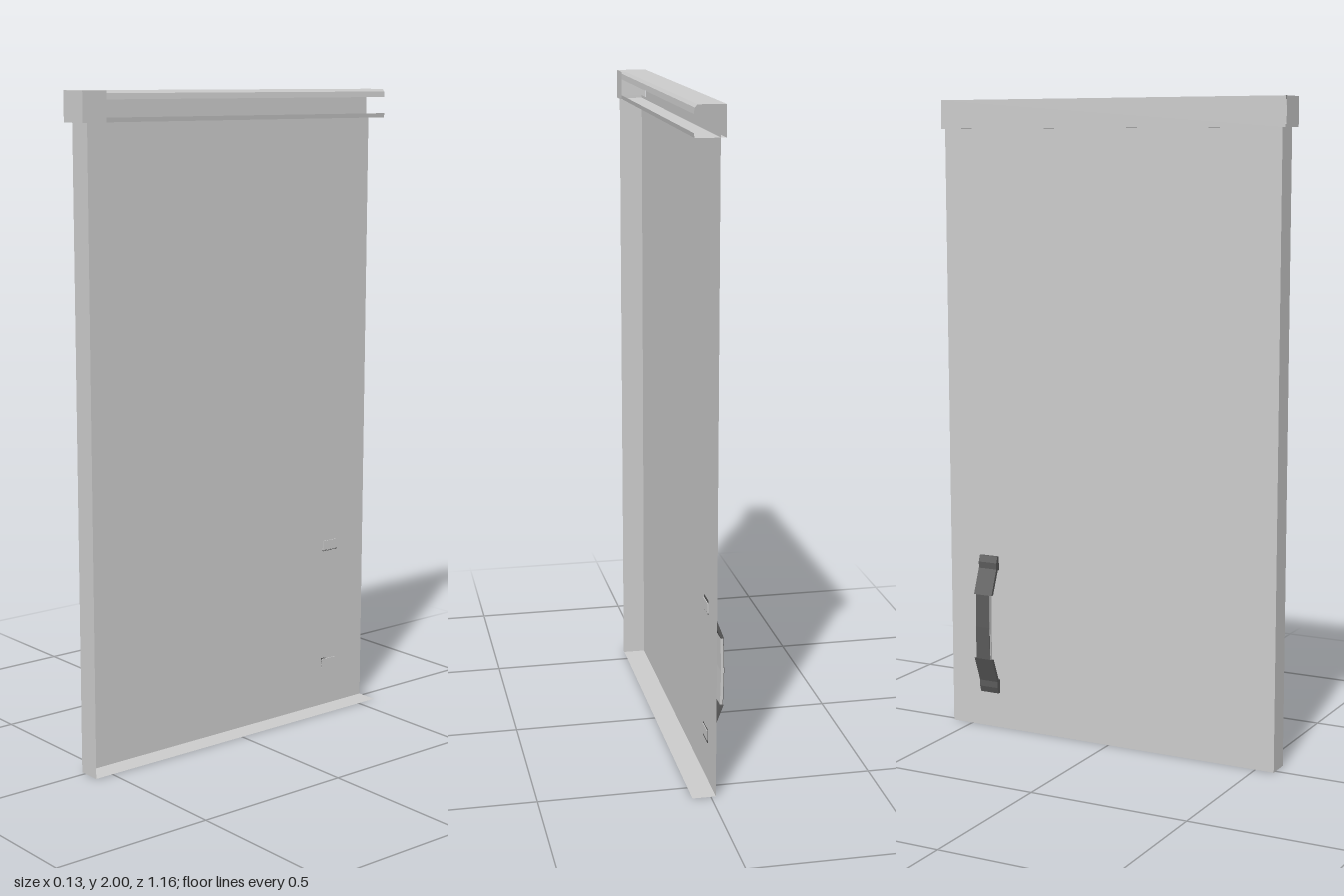
import * as THREE from 'three';

const grey = new THREE.MeshStandardMaterial({ color: 0xcccccc, side: THREE.DoubleSide, flatShading: true });
const dark = new THREE.MeshStandardMaterial({ color: 0x5a5a5a, flatShading: true });

// Folded sheet: a cross-section [x, y] swept between two z ends
function sheet(name, profile, zFront, zBack) {
  const pos = [], idx = [];
  profile.forEach(([x, y], i) => {
    pos.push(x, y, zFront, x, y, typeof zBack === 'function' ? zBack(x, y) : zBack);
    if (i) {
      const a = 2 * i - 2;
      idx.push(a, a + 1, a + 2, a + 1, a + 3, a + 2);
    }
  });
  const g = new THREE.BufferGeometry();
  g.setAttribute('position', new THREE.Float32BufferAttribute(pos, 3));
  g.setIndex(idx);
  const flat = g.toNonIndexed();
  flat.computeVertexNormals();
  const mesh = new THREE.Mesh(flat, grey);
  mesh.name = name;
  return mesh;
}

// Solid strip: an [x, y] outline extruded along z, centred on zMid
function strip(name, outline, width, zMid, material) {
  const shape = new THREE.Shape(outline.map(([x, y]) => new THREE.Vector2(x, y)));
  const g = new THREE.ExtrudeGeometry(shape, { depth: width, bevelEnabled: false });
  const mesh = new THREE.Mesh(g, material);
  mesh.position.z = zMid - width / 2;
  mesh.name = name;
  return mesh;
}

function box(name, w, h, d, x, y, z, material) {
  const mesh = new THREE.Mesh(new THREE.BoxGeometry(w, h, d), material);
  mesh.position.set(x, y, z);
  mesh.name = name;
  return mesh;
}

export function createModel() {
  const model = new THREE.Group();
  model.name = 'door';

  // Door skin with its bottom flange; the rear edge leans slightly
  const rear = (x, y) => -0.57 - 0.003 * y;
  model.add(sheet('doorPanel', [[-0.015, 1.92], [-0.015, 0], [0.055, 0]], 0.56, rear));

  // Front edge flange
  const flange = new THREE.Mesh(new THREE.PlaneGeometry(0.072, 1.92), grey);
  flange.position.set(0.021, 0.96, 0.56);
  flange.name = 'frontFlange';
  model.add(flange);

  // Top rail: channel open towards +x and at the rear
  const rail = new THREE.Group();
  rail.name = 'topRail';
  rail.add(sheet('railChannel', [
    [0.058, 1.975], [0.056, 1.992], [0.048, 2], [-0.03, 2],
    [-0.03, 1.912], [0.056, 1.912], [0.058, 1.925],
  ], 0.575, (x) => -0.58 + (x + 0.03) * 0.06));
  // Front end cap, open at its rear
  rail.add(sheet('railCap', [
    [-0.03, 1.912], [0.062, 1.912], [0.062, 2], [-0.03, 2],
  ], 0.578, 0.497));
  const capFace = new THREE.Mesh(new THREE.PlaneGeometry(0.092, 0.088), grey);
  capFace.position.set(0.016, 1.956, 0.578);
  capFace.name = 'railCapFace';
  rail.add(capFace);
  model.add(rail);

  // Pull handle on the outer side, bowed, with a slimmer middle
  const handle = new THREE.Group();
  handle.name = 'handle';
  const zH = -0.427, yH = 0.34;
  for (const s of [1, -1]) {
    const arm = [
      [-0.015, 0.225], [-0.024, 0.225], [-0.031, 0.205], [-0.031, 0.185], [-0.062, 0.105],
      [-0.052, 0.105], [-0.022, 0.18], [-0.015, 0.18],
    ].map(([x, y]) => [x, yH + s * y]);
    handle.add(strip('handleArm', arm, 0.065, zH, dark));
    // Fixing plate showing through on the inner side
    model.add(box('handleFixing', 0.003, 0.03, 0.06, -0.014, yH + s * 0.2, zH, grey));
  }
  handle.add(strip('handleGrip', [
    [-0.062, 0.445], [-0.065, 0.34], [-0.062, 0.235], [-0.059, 0.235], [-0.062, 0.34], [-0.059, 0.445],
  ], 0.05, zH, dark));
  handle.add(strip('handleGripCore', [
    [-0.06, 0.445], [-0.063, 0.34], [-0.06, 0.235], [-0.052, 0.235], [-0.055, 0.34], [-0.052, 0.445],
  ], 0.054, zH, grey));
  model.add(handle);

  return model;
}
